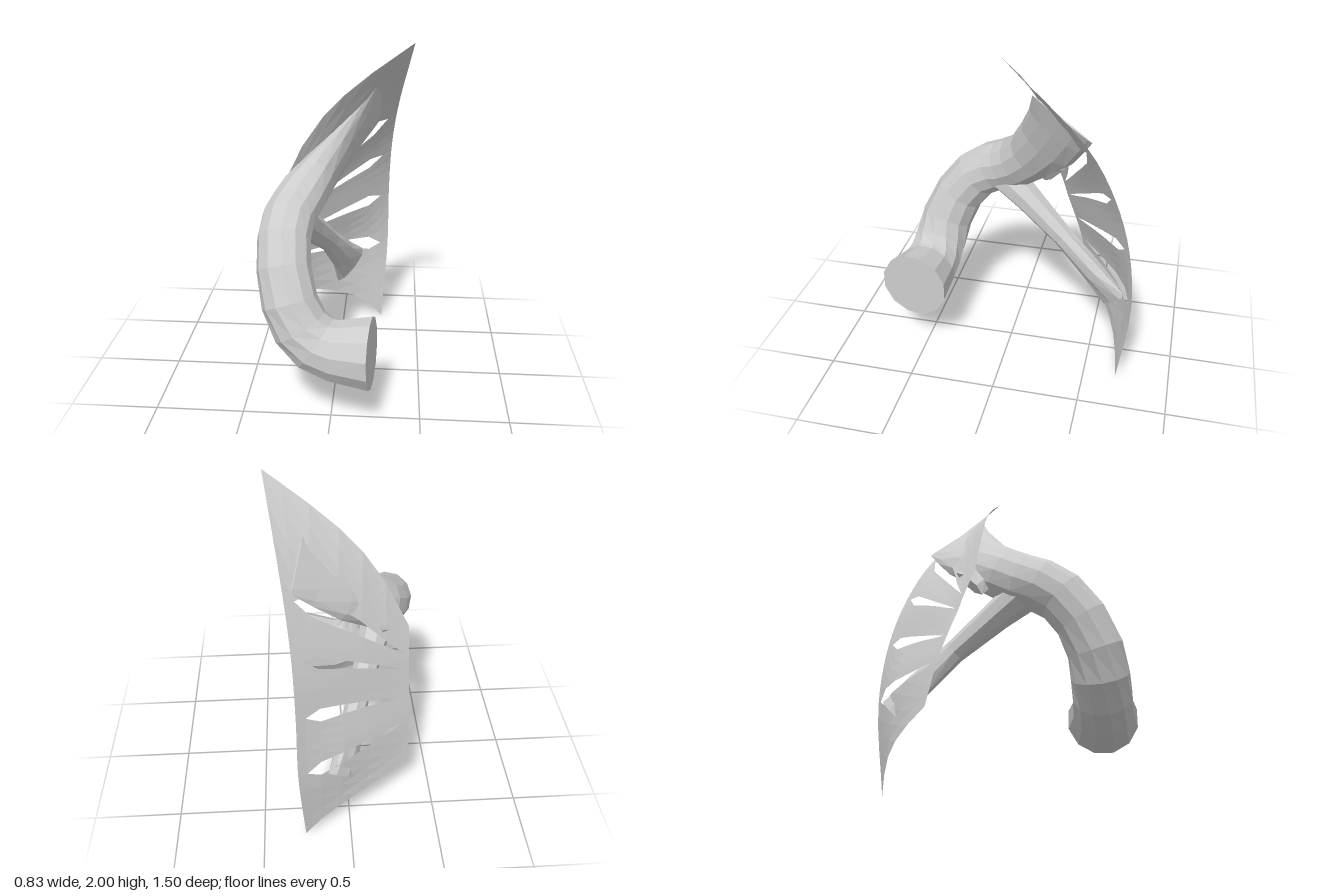
import * as THREE from 'three';

const V = (p) => new THREE.Vector3(p[0], p[1], p[2]);

function meshFrom(name, positions, index, material) {
  const g = new THREE.BufferGeometry();
  g.setAttribute('position', new THREE.Float32BufferAttribute(positions, 3));
  g.setIndex(index);
  g.computeVertexNormals();
  const mesh = new THREE.Mesh(g, material);
  mesh.name = name;
  return mesh;
}

// Closed tube through oval sections [x, y, z, half width, half thickness];
// the width of every section leans towards the hint direction.
function loft(name, sections, hint, sides, material) {
  const pos = [], index = [], n = sections.length;
  sections.forEach((s, i) => {
    const t = V(sections[Math.min(i + 1, n - 1)]).sub(V(sections[Math.max(i - 1, 0)])).normalize();
    const a = V(hint).addScaledVector(t, -V(hint).dot(t)).normalize();
    const b = new THREE.Vector3().crossVectors(t, a);
    for (let k = 0; k < sides; k++) {
      const q = (k / sides) * Math.PI * 2;
      const p = V(s).addScaledVector(a, Math.cos(q) * s[3]).addScaledVector(b, Math.sin(q) * s[4]);
      pos.push(p.x, p.y, p.z);
      if (i < n - 1) {
        const c = i * sides + k, d = i * sides + ((k + 1) % sides);
        index.push(c, d, c + sides, d, d + sides, c + sides);
      }
    }
  });
  const last = (n - 1) * sides;
  for (let k = 1; k < sides - 1; k++) {
    index.push(0, k + 1, k, last, last + k, last + k + 1);
  }
  return meshFrom(name, pos, index, material);
}

// Curved sheet spanned by lines running across it, with a tapering slit on each inner line
function fanPanel(material) {
  const lines = [
    [[-0.35, 0.32, -0.43], [-0.15, 0.26, -0.55], [0.02, 0.2, -0.63], [0.15, 0.12, -0.67], [0.26, 0.0, -0.69]],
    [[-0.35, 0.57, -0.375], [-0.13, 0.57, -0.53], [0.08, 0.56, -0.665], [0.29, 0.53, -0.75]],
    [[-0.35, 0.71, -0.33], [-0.03, 0.82, -0.52], [0.29, 0.91, -0.715]],
    [[-0.35, 0.86, -0.275], [-0.03, 1.05, -0.45], [0.3, 1.23, -0.62]],
    [[-0.35, 0.94, -0.25], [-0.01, 1.23, -0.37], [0.33, 1.52, -0.47]],
    [[-0.35, 1.1, -0.19], [-0.18, 1.44, -0.155], [-0.03, 1.63, -0.13], [0.13, 1.78, -0.1], [0.415, 2, -0.045]],
  ].map((l) => new THREE.CatmullRomCurve3(l.map(V)));
  const us = [0, 0.05, 0.2, 0.4, 0.6, 0.8, 0.92, 1];
  const open = [0, 0, 0.05, 0.07, 0.1, 0.12, 0, 0];
  const openTop = [0, 0, 0.08, 0.18, 0.2, 0.16, 0, 0];
  const steps = 4, bands = lines.length - 1;
  const pos = [], index = [];
  for (let band = 0; band < bands; band++) {
    const base = pos.length / 3;
    const lower = band === bands - 1 ? openTop : open;
    us.forEach((u, i) => {
      const column = new THREE.CatmullRomCurve3(lines.map((l) => l.getPoint(u)));
      const lo = band + (band > 0 ? lower[i] : 0);
      const hi = band + 1 - (band < bands - 1 ? open[i] : 0);
      for (let j = 0; j <= steps; j++) {
        const p = column.getPoint((lo + ((hi - lo) * j) / steps) / bands);
        pos.push(p.x, p.y, p.z);
        if (i < us.length - 1 && j < steps) {
          const a = base + i * (steps + 1) + j, b = a + steps + 1;
          index.push(a, b, b + 1, a, b + 1, a + 1);
        }
      }
    });
  }
  return meshFrom('slottedFanPanel', pos, index, material);
}

export function createModel() {
  const group = new THREE.Group();
  group.name = 'curvedPipeWithFan';
  const grey = new THREE.MeshStandardMaterial({ color: 0xcccccc, flatShading: true, side: THREE.DoubleSide });
  grey.name = 'plainGrey';

  // Main pipe, flattening into the upper arm against the panel
  group.add(loft('mainPipe', [
    [0.225, 0.443, 0.55, 0.205, 0.203],
    [0.02, 0.438, 0.525, 0.172, 0.17],
    [-0.08, 0.475, 0.51, 0.165, 0.165],
    [-0.165, 0.56, 0.49, 0.16, 0.16],
    [-0.225, 0.69, 0.46, 0.155, 0.155],
    [-0.262, 0.85, 0.385, 0.15, 0.15],
    [-0.272, 0.98, 0.28, 0.15, 0.148],
    [-0.262, 1.05, 0.17, 0.152, 0.148],
    [-0.235, 1.09, 0.08, 0.155, 0.145],
    [-0.19, 1.15, -0.01, 0.155, 0.14],
    [-0.11, 1.24, -0.105, 0.16, 0.115],
    [0.02, 1.38, -0.205, 0.18, 0.075],
    [0.15, 1.52, -0.275, 0.185, 0.035],
    [0.25, 1.635, -0.32, 0.195, 0.005],
  ], [0, -0.7, -0.71], 12, grey));

  // Slim lower arm with a flared foot lying on the panel
  group.add(loft('lowerArm', [
    [-0.22, 1.02, 0.08, 0.1, 0.11],
    [-0.16, 0.91, -0.07, 0.085, 0.085],
    [-0.07, 0.73, -0.3, 0.07, 0.06],
    [0.0, 0.55, -0.5, 0.095, 0.055],
    [0.045, 0.41, -0.635, 0.14, 0.035],
  ], [0.35, 1, 0], 8, grey));

  // Short web between the fork and the panel's side edge
  group.add(loft('forkWeb', [
    [-0.17, 1.16, -0.05, 0.1, 0.09],
    [-0.18, 1.13, -0.16, 0.1, 0.05],
    [-0.22, 1.08, -0.225, 0.11, 0.03],
  ], [0.4, 0.8, 0], 6, grey));

  group.add(fanPanel(grey));
  return group;
}
